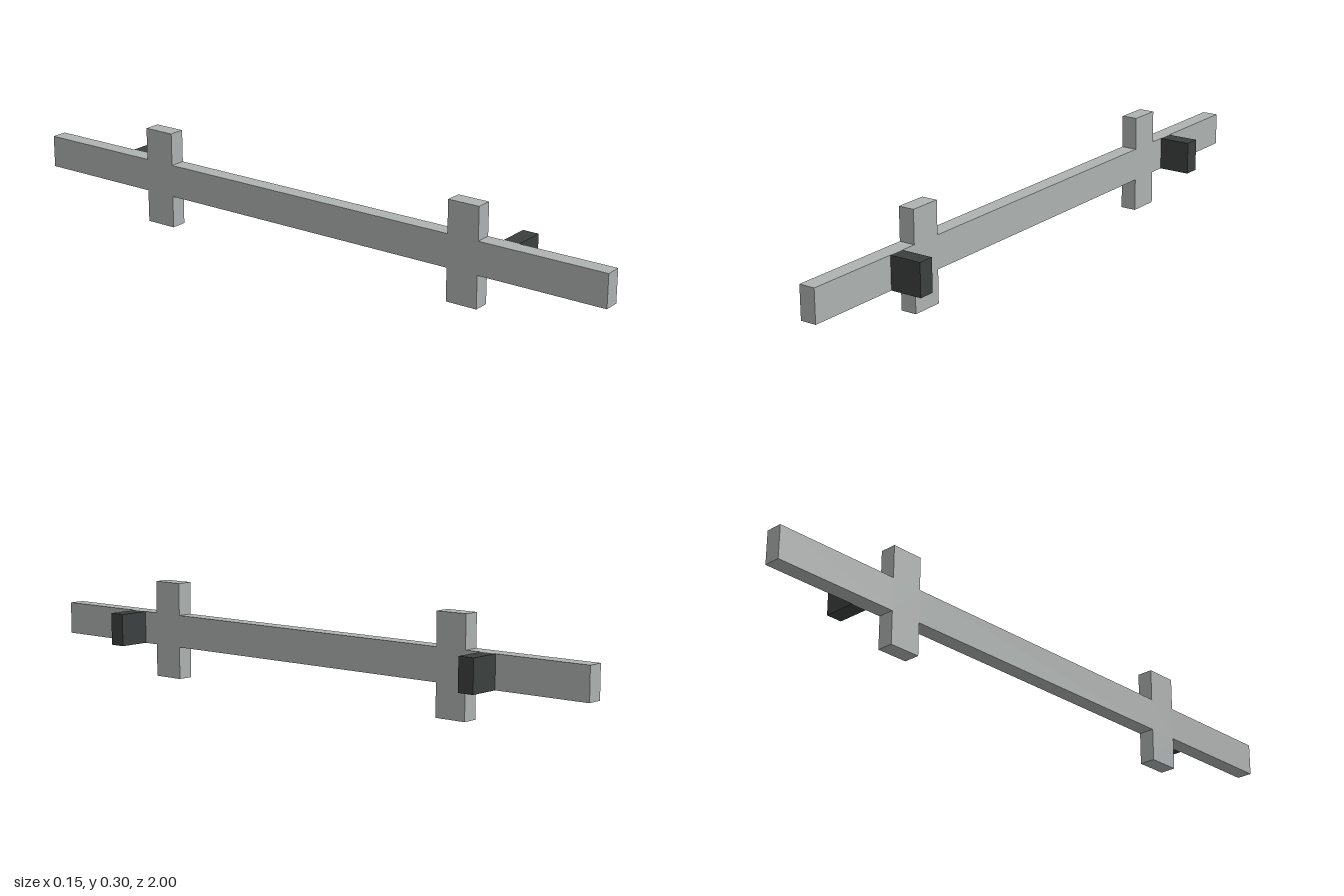
import * as THREE from 'three';

export function createModel() {
  const model = new THREE.Group();
  const paleGrey = new THREE.MeshStandardMaterial({ color: 0xaeb2b1 });
  const charcoal = new THREE.MeshStandardMaterial({ color: 0x3b403f });

  // Long flat rail with two upright cross pieces, cut as one outline
  const half = [[1, 0.1], [1, 0.2], [0.6, 0.2], [0.6, 0.3], [0.5, 0.3], [0.5, 0.2]];
  const lowerHalf = [[0.5, 0.1], [0.5, 0], [0.6, 0], [0.6, 0.1]];
  const mirror = (points) => points.map(([u, y]) => [-u, y]).reverse();
  const outline = [...half, ...mirror(half), ...mirror(lowerHalf), ...lowerHalf];
  const shape = new THREE.Shape(outline.map(([u, y]) => new THREE.Vector2(u, y)));
  const railGeometry = new THREE.ExtrudeGeometry(shape, { depth: 0.05, bevelEnabled: false });
  railGeometry.rotateY(Math.PI / 2).translate(-0.075, 0, 0);
  const rail = new THREE.Mesh(railGeometry, paleGrey);
  rail.name = 'railWithCrossPieces';
  model.add(rail);

  // Dark mounting blocks on the left face, one near each end
  const blockGeometry = new THREE.BoxGeometry(0.1, 0.1, 0.05);
  for (const [name, side] of [['frontBlock', 1], ['backBlock', -1]]) {
    const block = new THREE.Mesh(blockGeometry, charcoal);
    block.name = name;
    block.position.set(0.025, 0.15, side * 0.675);
    model.add(block);
  }
  return model;
}
